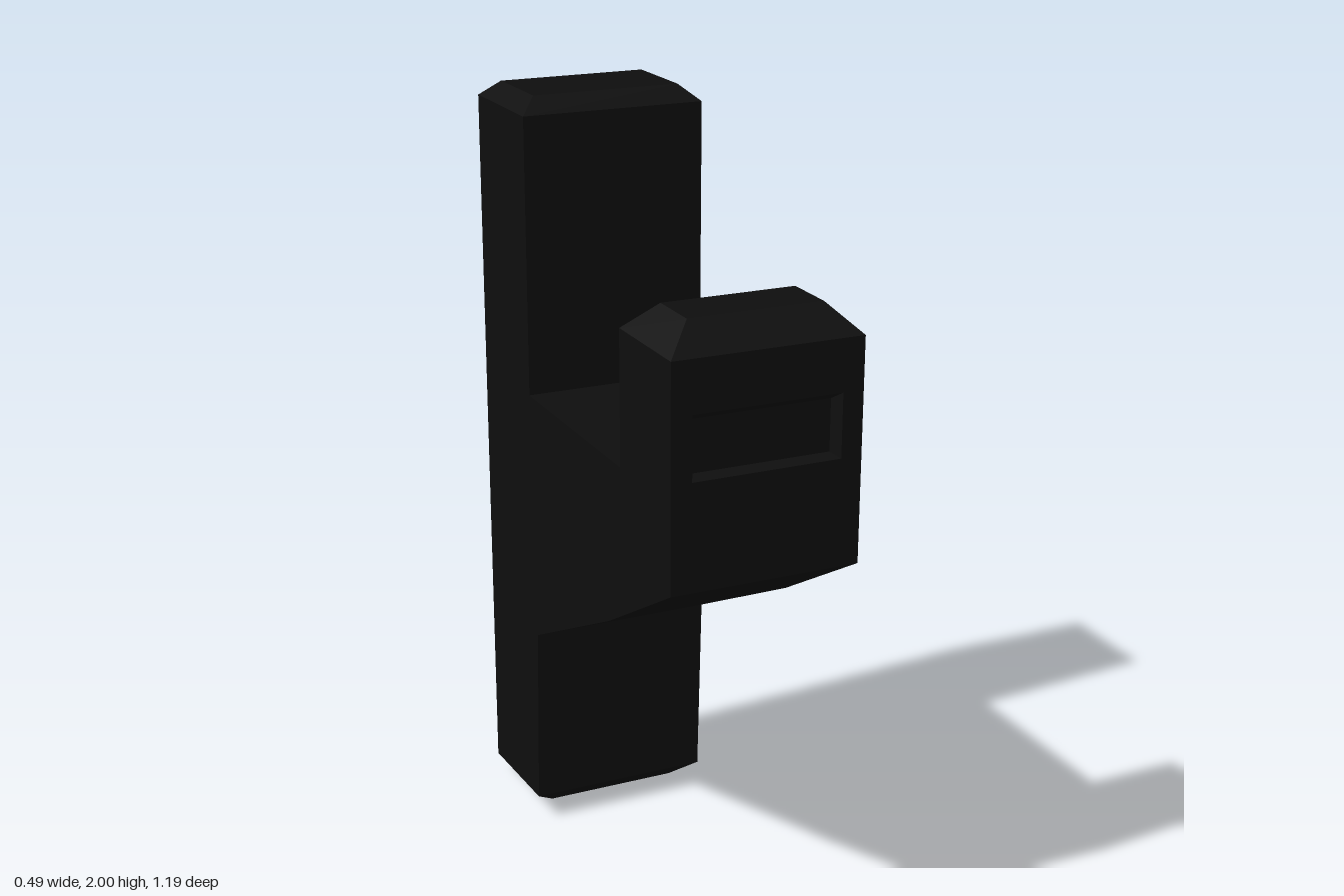
import * as THREE from 'three';

const W = 0.243; // half width
const FRONT = 0.595;

// Flat-faced band between two rings of corners, with an optional flat end on the second ring
function loft(a, b, endCap = false) {
  const pos = [];
  const tri = (p, q, r) => pos.push(...p, ...q, ...r);
  const n = a.length;
  for (let i = 0; i < n; i++) {
    const j = (i + 1) % n;
    tri(a[i], a[j], b[j]);
    tri(a[i], b[j], b[i]);
  }
  if (endCap) for (let i = 1; i < n - 1; i++) tri(b[0], b[i], b[i + 1]);
  const g = new THREE.BufferGeometry();
  g.setAttribute('position', new THREE.Float32BufferAttribute(pos, 3));
  g.computeVertexNormals();
  return g;
}

// Horizontal ring, counter-clockwise from above; heights may differ front and back
const ring = (x, zBack, zFront, yBack, yFront = yBack) => [
  [-x, yFront, zFront], [x, yFront, zFront], [x, yBack, zBack], [-x, yBack, zBack],
];
// Upright ring, counter-clockwise from the front
const panel = (x, y0, y1, z) => [[-x, y0, z], [x, y0, z], [x, y1, z], [-x, y1, z]];

export function createModel() {
  const model = new THREE.Group();
  const black = new THREE.MeshStandardMaterial({ color: 0x0e0e0e });
  black.name = 'black';
  const add = (name, geometry) => {
    const mesh = new THREE.Mesh(geometry, black);
    mesh.name = name;
    model.add(mesh);
    return mesh;
  };

  // Side outline as [z, y], starting at the front lower corner
  const outline = [
    [FRONT, 1.02], [0.24, 0.815], [-0.25, 0.57], [-0.27, 0.07], [-0.592, 0.05],
    [-0.592, 1.96], [-0.272, 1.96], [-0.272, 1.24], [0.313, 1.24], [0.313, 1.58], [FRONT, 1.58],
  ];

  // Side walls
  const side = new THREE.Shape(outline.map(([z, y]) => new THREE.Vector2(-z, y)));
  for (const s of [1, -1]) {
    const shape = s > 0 ? side : new THREE.Shape(outline.map(([z, y]) => new THREE.Vector2(z, y)));
    const wall = add(s > 0 ? 'leftWall' : 'rightWall', new THREE.ShapeGeometry(shape));
    wall.rotation.y = s * Math.PI / 2;
    wall.position.x = s * W;
  }

  // Underside, back and saddle; the open ends at the tips and foot are closed by caps
  const names = ['frontUnderside', 'rearUnderside', 'legFront', null, 'back', null,
    'postFront', 'saddle', 'prongBack'];
  names.forEach((name, i) => {
    if (!name) return;
    const [z0, y0] = outline[i], [z1, y1] = outline[i + 1];
    const g = new THREE.BufferGeometry();
    g.setAttribute('position', new THREE.Float32BufferAttribute([
      -W, y0, z0, -W, y1, z1, W, y1, z1,
      -W, y0, z0, W, y1, z1, W, y0, z0], 3));
    g.computeVertexNormals();
    add(name, g);
  });

  // Front face with its shallow recess
  const rect = (x, y0, y1) => panel(x, y0, y1, 0).map(([px, py]) => new THREE.Vector2(px, py));
  const face = new THREE.Shape(rect(W, 1.02, 1.58));
  face.holes.push(new THREE.Path(rect(0.19, 1.29, 1.45)));
  add('frontFace', new THREE.ShapeGeometry(face)).position.z = FRONT;
  add('frontRecess', loft(panel(0.19, 1.29, 1.45, FRONT), panel(0.175, 1.3, 1.43, FRONT - 0.03), true));

  // Bevelled tips
  add('postCap', loft(ring(W, -0.592, -0.272, 1.96), ring(0.197, -0.545, -0.32, 2), true));
  add('prongCap', loft(ring(W, 0.313, FRONT, 1.58), ring(0.172, 0.385, 0.525, 1.65), true));

  // Bevelled foot, wound the other way as it faces down
  add('foot', loft(
    ring(W, -0.592, -0.27, 0.05, 0.07).reverse(),
    ring(0.18, -0.525, -0.33, 0, 0.018).reverse(), true));

  return model;
}
